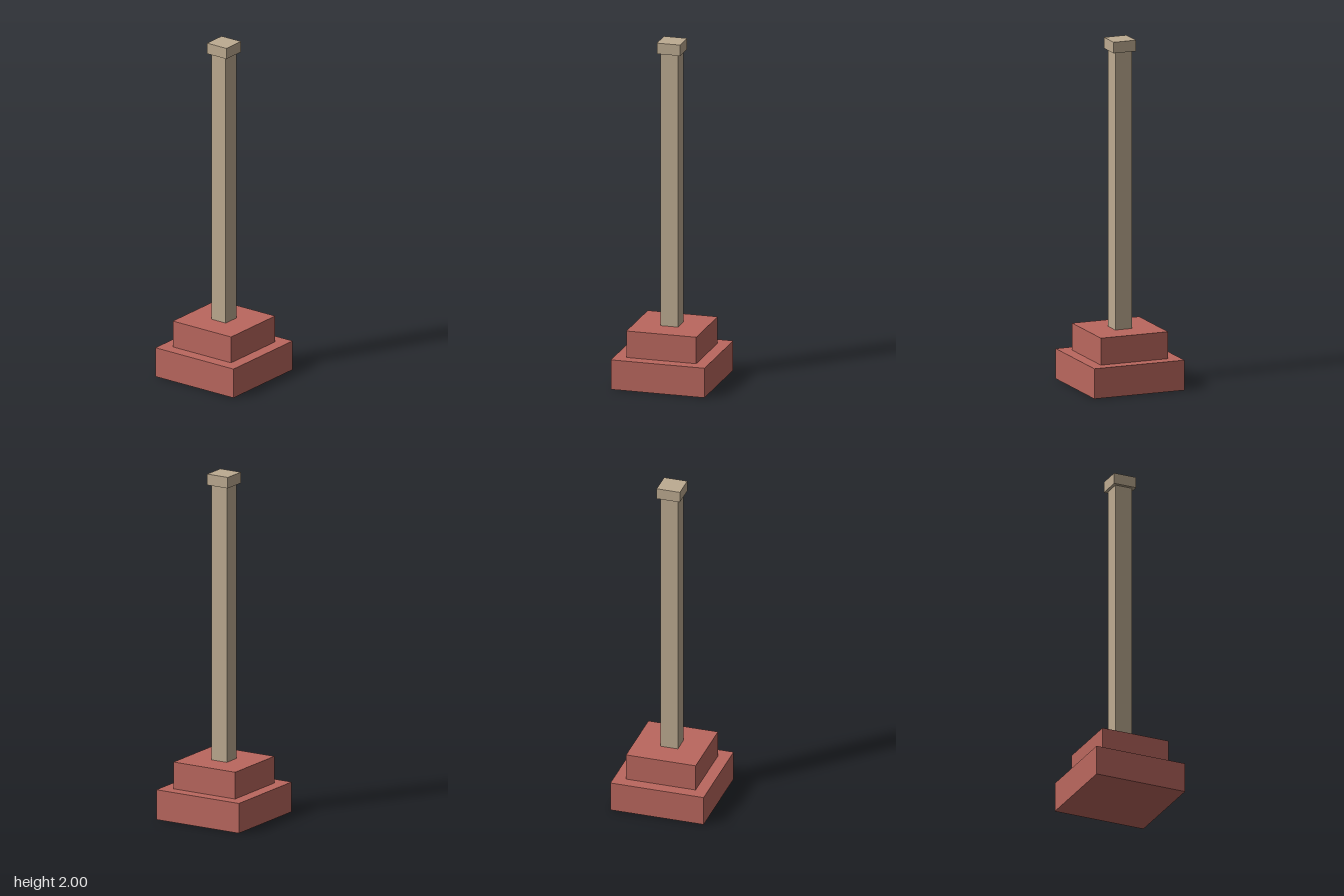
import * as THREE from 'three';

const brick = new THREE.MeshStandardMaterial({ color: 0xba675e });
brick.name = 'brick red';
const stone = new THREE.MeshStandardMaterial({ color: 0xbdab91 });
stone.name = 'sandstone';

// Square block of the given width, spanning bottom to top
function block(name, width, bottom, top, material) {
  const mesh = new THREE.Mesh(new THREE.BoxGeometry(width, top - bottom, width), material);
  mesh.name = name;
  mesh.position.y = (bottom + top) / 2;
  return mesh;
}

export function createModel() {
  const column = new THREE.Group();
  column.name = 'column';
  column.add(
    // Stepped plinth
    block('lowerPlinth', 0.552, 0, 0.174, brick),
    block('upperPlinth', 0.412, 0.174, 0.33, brick),
    // Square shaft and its cap
    block('shaft', 0.102, 0.33, 1.936, stone),
    block('cap', 0.137, 1.936, 2, stone),
  );
  return column;
}
